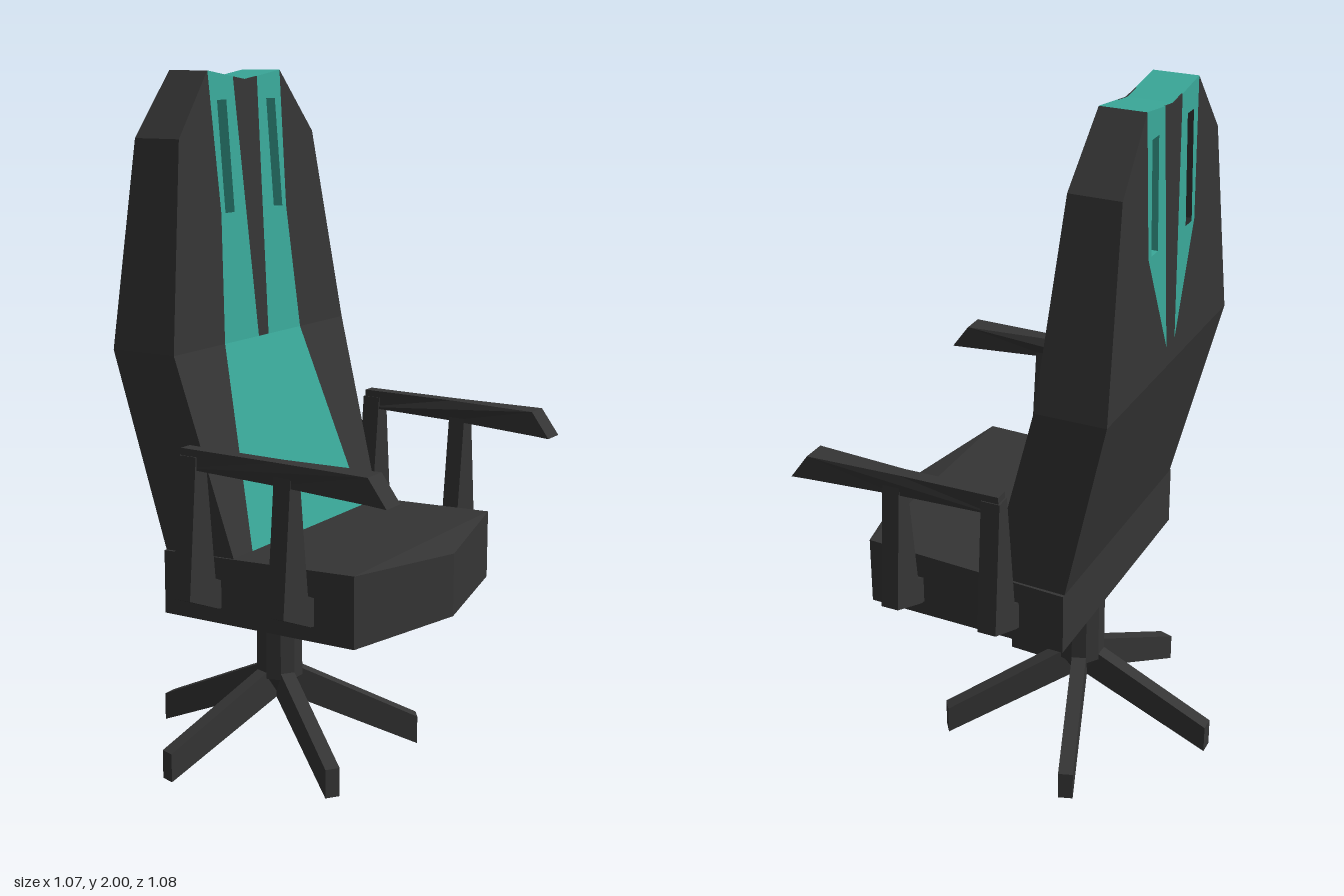
import * as THREE from 'three';

const frame = new THREE.MeshStandardMaterial({ color: 0x353535 });
frame.name = 'charcoal';
const accent = new THREE.MeshStandardMaterial({ color: 0x3aa899 });
accent.name = 'teal';

const mix = THREE.MathUtils.lerp;

// piecewise linear lookup in [position, value] pairs
function lookup(table, p) {
  let i = 0;
  while (i < table.length - 2 && p > table[i + 1][0]) i++;
  const [a, va] = table[i], [b, vb] = table[i + 1];
  return mix(va, vb, (p - a) / (b - a));
}

// extrudes an outline to unit depth, then moves each vertex by a rule
function extrude(points, rule, hole) {
  const shape = new THREE.Shape(points.map(p => new THREE.Vector2(...p)));
  if (hole) shape.holes.push(new THREE.Path(hole.map(p => new THREE.Vector2(...p))));
  const geo = new THREE.ExtrudeGeometry(shape, { depth: 1, bevelEnabled: false });
  const pos = geo.attributes.position;
  for (let i = 0; i < pos.count; i++) {
    pos.setXYZ(i, ...rule(pos.getX(i), pos.getY(i), pos.getZ(i)));
  }
  geo.computeVertexNormals();
  return geo;
}

function add(group, name, geo, mat) {
  const mesh = new THREE.Mesh(geo, mat);
  mesh.name = name;
  group.add(mesh);
  return mesh;
}

// rear and front surfaces of the backrest by height
const backX = [[0.69, -0.24], [1.25, -0.375], [2, -0.36]];
const frontX = [[0.69, -0.01], [1.25, -0.17], [2, -0.23]];

// pair of mirrored backrest pieces; t runs from the rear (0) to the front (1)
function backPiece(group, name, points, t0, t1, mat, hole) {
  for (const s of [1, -1]) {
    const flip = list => list.map(([z, y]) => [z * s, y]);
    const rule = (a, y, c) => [mix(lookup(backX, y), lookup(frontX, y), mix(t0, t1, c)), y, -a];
    add(group, name, extrude(flip(points), rule, hole && flip(hole)), mat);
  }
}

function makeBackrest() {
  const g = new THREE.Group();
  g.name = 'backrest';
  const slot = [[0.1, 1.61], [0.145, 1.61], [0.145, 1.92], [0.1, 1.92]];

  // side bolsters
  backPiece(g, 'upperBolster',
    [[0.18, 2], [0.165, 1.61], [0.195, 1.25], [0.435, 1.25], [0.335, 1.82]], 0, 1, frame);
  backPiece(g, 'lowerBolster', [[0.195, 1.25], [0.3, 0.69], [0.39, 0.69], [0.435, 1.25]], 0, 1, frame);

  // lower centre panel and its dark rear shell
  const lower = [[0, 1.25], [0, 0.69], [0.3, 0.69], [0.195, 1.25]];
  backPiece(g, 'lowerPanel', lower, 0.5, 1, accent);
  backPiece(g, 'lowerShell', lower, 0, 0.5, frame);

  // upper centre panel with slots
  backPiece(g, 'upperPanel',
    [[0.06, 1.983], [0.025, 1.25], [0.195, 1.25], [0.165, 1.61], [0.18, 2]], 0.5, 1, accent, slot);
  backPiece(g, 'rearPanel', [[0.06, 1.983], [0.03, 1.31], [0.165, 1.61], [0.18, 2]], 0, 0.5, accent, slot);
  backPiece(g, 'upperShell', [[0.03, 1.31], [0.025, 1.25], [0.195, 1.25], [0.165, 1.61]], 0, 0.5, frame);

  // centre stripe on both faces, with a teal core between
  const stripe = [[0, 1.975], [0, 1.25], [0.025, 1.25], [0.03, 1.31], [0.06, 1.983]];
  backPiece(g, 'frontStripe', stripe, 0.97, 1, frame);
  backPiece(g, 'stripeCore', stripe, 0.03, 0.97, accent);
  backPiece(g, 'rearStripe', stripe, 0, 0.03, frame);
  return g;
}

function makeSeat() {
  const g = new THREE.Group();
  g.name = 'seat';
  const outline = [[-0.24, -0.4], [0.37, -0.39], [0.46, 0], [0.37, 0.39], [-0.24, 0.4], [-0.24, 0]];
  // top rises toward the front corners
  const rule = (x, z, c) => {
    const top = x > 0 && Math.abs(z) > 0.1 ? 0.71 : 0.69;
    return [x, mix(0.508, top, c), -z];
  };
  add(g, 'seatCushion', extrude(outline, rule), frame);
  return g;
}

function makeArm(side) {
  const g = new THREE.Group();
  g.name = side > 0 ? 'nearArmrest' : 'farArmrest';
  // bar that widens toward its sloped tip
  const inner = [[-0.1, 0.465], [0.2, 0.465], [0.48, 0.443], [0.54, 0.443]];
  const outer = [[-0.1, 0.504], [0.2, 0.504], [0.48, 0.513], [0.54, 0.513]];
  const bar = [[-0.1, 1.02], [-0.1, 0.965], [0.2, 0.955], [0.48, 0.944], [0.535, 0.94],
    [0.48, 1.015], [0.2, 1.017]];
  add(g, 'armBar', extrude(bar, (x, y, c) =>
    [x, y, side * mix(lookup(inner, x), lookup(outer, x), side > 0 ? c : 1 - c)]), frame);

  // splayed posts with a foot reaching into the seat
  const post = top => [[0.463, top], [0.423, 0.645], [0.38, 0.625], [0.38, 0.55], [0.41, 0.555],
    [0.542, 0.61], [0.507, top]].map(([z, y]) => [-z * side, y]);
  for (const [name, x0, x1, top] of [['rearPost', -0.105, -0.05, 1.0], ['frontPost', 0.197, 0.248, 0.98]]) {
    add(g, name, extrude(post(top), (a, y, c) => [mix(x0, x1, c), y, -a]), frame);
  }
  return g;
}

function makeBase() {
  const g = new THREE.Group();
  g.name = 'base';
  g.position.x = -0.12;
  // ten-sided column
  const column = new THREE.CylinderGeometry(0.07, 0.07, 0.29, 10).toNonIndexed();
  column.computeVertexNormals();
  add(g, 'column', column, frame).position.y = 0.375;
  const hub = new THREE.CylinderGeometry(0.07, 0.03, 0.07, 10).toNonIndexed();
  hub.computeVertexNormals();
  add(g, 'hub', hub, frame).position.y = 0.205;

  // five sloping legs
  const profile = [[0.02, 0.17], [0.415, 0], [0.415, 0.085], [0.06, 0.252], [0.02, 0.252]];
  for (let i = 0; i < 5; i++) {
    const leg = extrude(profile, (r, y, c) => [r, y, (c - 0.5) * 0.043]);
    add(g, 'leg', leg, frame).rotation.y = Math.PI + i * Math.PI * 0.4;
  }
  return g;
}

export function createModel() {
  const model = new THREE.Group();
  model.name = 'officeChair';
  model.add(makeBackrest(), makeSeat(), makeArm(1), makeArm(-1), makeBase());
  return model;
}
